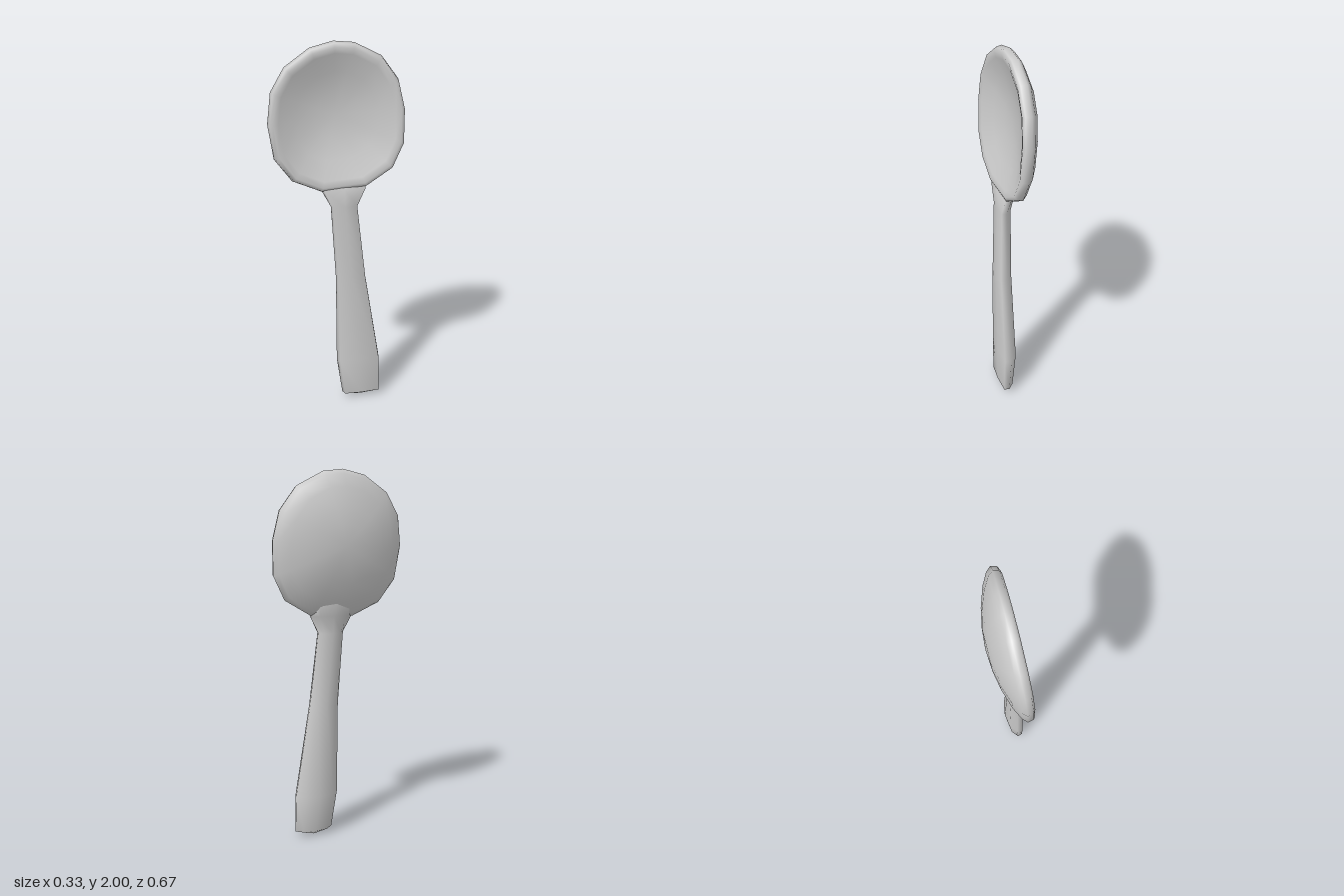
import * as THREE from 'three';

// Skin a closed surface over rings of equal size; first and last rings are single points
function loft(rings) {
  const m = rings[1].length, last = rings.length - 1, start = [], pos = [], index = [];
  for (const ring of rings) {
    start.push(pos.length / 3);
    for (const p of ring) pos.push(...p);
  }
  const at = (i, j) => start[i] + (rings[i].length === 1 ? 0 : j % m);
  for (let i = 0; i < last; i++) {
    for (let j = 0; j < m; j++) {
      const a = at(i, j), b = at(i, j + 1), c = at(i + 1, j + 1), d = at(i + 1, j);
      if (i < last - 1) index.push(a, d, c);
      if (i > 0) index.push(a, c, b);
    }
  }
  const g = new THREE.BufferGeometry();
  g.setAttribute('position', new THREE.Float32BufferAttribute(pos, 3));
  g.setIndex(index);
  g.computeVertexNormals();
  return g;
}

export function createModel() {
  const group = new THREE.Group();
  group.name = 'spoon';
  const material = new THREE.MeshStandardMaterial({ color: 0xcccccc });
  const add = (name, geometry) => {
    const mesh = new THREE.Mesh(geometry, material);
    mesh.name = name;
    group.add(mesh);
  };

  // Bowl: one outline, scaled about its centre from the back, over the rim, into the shallow hollow
  const midY = 1.62;
  const outline = [
    [-0.014, 2.0], [0.095, 1.99], [0.236, 1.92], [0.325, 1.8], [0.36, 1.65],
    [0.357, 1.47], [0.295, 1.34], [0.15, 1.25], [-0.09, 1.235], [-0.24, 1.3],
    [-0.33, 1.42], [-0.357, 1.6], [-0.337, 1.76], [-0.265, 1.88], [-0.135, 1.97],
  ];
  // [scale, depth]
  const profile = [
    [0, -0.124], [0.28, -0.116], [0.52, -0.098], [0.78, -0.066], [0.94, -0.034],
    [1, -0.01], [0.98, 0.02], [0.93, 0.03], [0.85, 0.022],
    [0.6, -0.014], [0.3, -0.036], [0, -0.042],
  ];
  const tilt = -0.06;
  add('bowl', loft(profile.map(([s, z]) => s === 0
    ? [[0, midY, z]]
    : outline.map(([x, y]) => [x * s, midY + (y - midY) * s, z + tilt * (y - midY) * s]))));

  // Handle: flat-fronted section with a rounded back, flaring and running into the bowl wall
  const section = [[1, 0.1], [0.93, 0.85], [0, 1], [-0.9, 0.85], [-1, 0.1], [-0.65, -0.75], [0, -1], [0.65, -0.75]];
  // [height, centre x, half width, centre z, half thickness]
  const stations = [
    [0.03, 0.126, 0.107, 0.048, 0.038],
    [0.24, 0.111, 0.121, 0.034, 0.047],
    [0.75, 0.066, 0.081, 0.033, 0.04],
    [1.15, 0.032, 0.071, 0.02, 0.034],
    [1.245, 0.03, 0.12, 0.015, 0.037],
    [1.32, 0.02, 0.14, -0.018, 0.025],
  ];
  const handleRings = stations.map(([y, cx, a, cz, b]) => section.map(([u, v]) => [cx + a * u, y, cz + b * v]));
  add('handle', loft([[[0.126, 0.001, 0.048]], ...handleRings, [[0.02, 1.33, -0.018]]]));

  // Turn the hollow side toward the model's left
  group.rotation.y = 1.171;
  return group;
}
